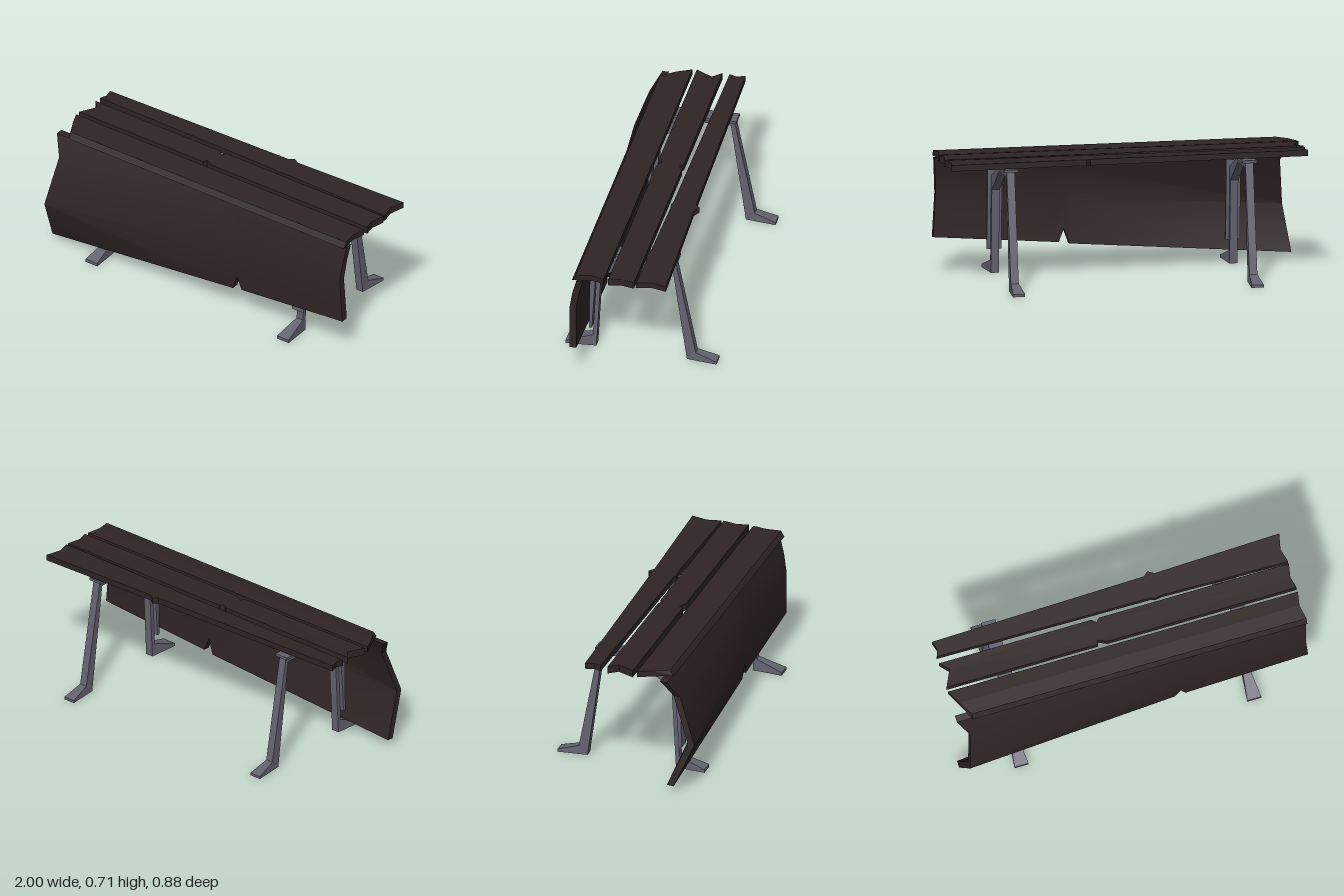
import * as THREE from 'three';
import { toCreasedNormals } from 'three/addons/utils/BufferGeometryUtils.js';

const wood = new THREE.MeshStandardMaterial({ color: 0x302424 });
wood.name = 'dark wood';
const metal = new THREE.MeshStandardMaterial({ color: 0x636270 });
metal.name = 'grey metal';

function named(name, geometry, material) {
  const mesh = new THREE.Mesh(geometry, material);
  mesh.name = name;
  return mesh;
}

// Move every vertex by a rule
function warp(geometry, rule) {
  const p = geometry.attributes.position;
  const v = new THREE.Vector3();
  for (let i = 0; i < p.count; i++) {
    rule(v.fromBufferAttribute(p, i));
    p.setXYZ(i, v.x, v.y, v.z);
  }
  geometry.computeVertexNormals();
  return geometry;
}

const shapeOf = (points) => new THREE.Shape(points.map(([a, b]) => new THREE.Vector2(a, b)));

// Board from an (x, z) outline, lying at height y
function plank(name, outline, y, thickness, rule) {
  const g = new THREE.ExtrudeGeometry(shapeOf(outline.map(([x, z]) => [x, -z])), { depth: thickness, bevelEnabled: false });
  g.rotateX(-Math.PI / 2).translate(0, y, 0);
  return named(name, warp(g, rule), wood);
}

// Flat bar from a (z, y) outline, centred on x = 0
function sideProfile(outline, width) {
  const g = new THREE.ExtrudeGeometry(shapeOf(outline), { depth: width, bevelEnabled: false });
  return g.translate(0, 0, -width / 2).rotateY(-Math.PI / 2);
}

// Bowed panel: each section lists its front points from top to bottom
function bowedPanel(sections, thickness) {
  const rings = sections.map((s) => [...s, ...s.map(([x, y, z]) => [x, y + 0.005, z - thickness]).reverse()]);
  const pos = [];
  const quad = (a, b, c, d) => pos.push(...a, ...b, ...c, ...a, ...c, ...d);
  const n = rings[0].length;
  for (let i = 0; i < rings.length - 1; i++) {
    for (let j = 0; j < n; j++) {
      const k = (j + 1) % n;
      quad(rings[i][j], rings[i][k], rings[i + 1][k], rings[i + 1][j]);
    }
  }
  const first = rings[0], last = rings[rings.length - 1];
  for (let j = 0; j < n / 2 - 1; j++) {
    quad(first[n - 1 - j], first[n - 2 - j], first[j + 1], first[j]);
    quad(last[j], last[j + 1], last[n - 2 - j], last[n - 1 - j]);
  }
  const g = new THREE.BufferGeometry();
  g.setAttribute('position', new THREE.Float32BufferAttribute(pos, 3));
  return toCreasedNormals(g, 0.6);
}

function createSupport(x) {
  const group = new THREE.Group();
  group.name = 'support';

  // Bent leg frame with splayed feet
  const legs = sideProfile([
    [0.41, 0], [0.41, 0.018], [0.26, 0.07], [0.235, 0.545], [0.02, 0.637], [-0.205, 0.652],
    [-0.32, 0.05], [-0.44, 0.015], [-0.44, 0], [-0.27, 0],
    [-0.185, 0.622], [0.01, 0.612], [0.215, 0.47], [0.24, 0],
  ], 0.044);
  warp(legs, (v) => {
    const flare = v.z > 0 ? Math.max(0, v.z - 0.26) * 0.12 : Math.max(0, -v.z - 0.32) * 0.1;
    v.x += Math.sign(v.x) * flare;
  });
  group.add(named('legFrame', legs, metal));

  // Wide strip under the seat, bending down behind the front panel
  group.add(named('mountingStrip', sideProfile([
    [-0.22, 0.665], [-0.22, 0.65], [0.0, 0.638], [0.205, 0.63], [0.242, 0.58], [0.24, 0.48],
    [0.262, 0.13], [0.278, 0.13], [0.272, 0.48], [0.256, 0.5], [0.257, 0.595], [0.235, 0.645], [0, 0.656],
  ], 0.08), metal));

  group.position.x = x;
  return group;
}

export function createModel() {
  const model = new THREE.Group();
  model.name = 'bench';

  // Seat boards with broken ends and chips
  model.add(plank('frontPlank', [
    [-1, 0.12], [1, 0.12], [0.985, 0.2], [1, 0.28], [-0.91, 0.28], [-0.96, 0.2],
  ], 0.662, 0.033, (v) => {
    const top = v.y > 0.68;
    if (v.z > 0.25) {
      v.y -= 0.006;
      if (!top) v.z += 0.02;
    }
  }));
  model.add(plank('middlePlank', [
    [-1, -0.05], [-0.13, -0.05], [-0.105, -0.03], [-0.085, -0.05], [1, -0.05], [0.985, 0.03], [1, 0.095],
    [-0.08, 0.095], [-0.13, 0.072], [-0.135, 0.095], [-1, 0.095], [-0.955, 0.0],
  ], 0.659, 0.041, (v) => { v.y += v.z < 0 ? 0.001 : -0.001; }));
  model.add(plank('backPlank', [
    [-1, -0.18], [0.22, -0.207], [0.245, -0.23], [0.28, -0.208], [1, -0.23], [0.98, -0.14], [1, -0.062],
    [0.28, -0.076], [0.245, -0.07], [0.22, -0.078], [-1, -0.09], [-0.985, -0.13],
  ], 0.666, 0.034, (v) => { v.y -= (v.z + 0.06) * 0.03; }));

  // Large front panel, bowed at one end, with a notch in its lower edge
  model.add(named('frontPanel', bowedPanel([
    [[-1, 0.653, 0.29], [-0.94, 0.55, 0.348], [-0.97, 0.285, 0.44], [-1, 0.035, 0.33]],
    [[0.24, 0.653, 0.28], [0.24, 0.555, 0.308], [0.24, 0.385, 0.33], [0.24, 0.135, 0.312]],
    [[0.27, 0.653, 0.28], [0.27, 0.555, 0.307], [0.27, 0.387, 0.33], [0.27, 0.22, 0.318]],
    [[0.3, 0.653, 0.28], [0.3, 0.555, 0.306], [0.3, 0.39, 0.328], [0.3, 0.145, 0.312]],
    [[1, 0.653, 0.275], [0.992, 0.56, 0.3], [0.985, 0.45, 0.318], [1, 0.2, 0.312]],
  ], 0.038), wood));

  for (const x of [-0.667, 0.663]) model.add(createSupport(x));
  return model;
}
